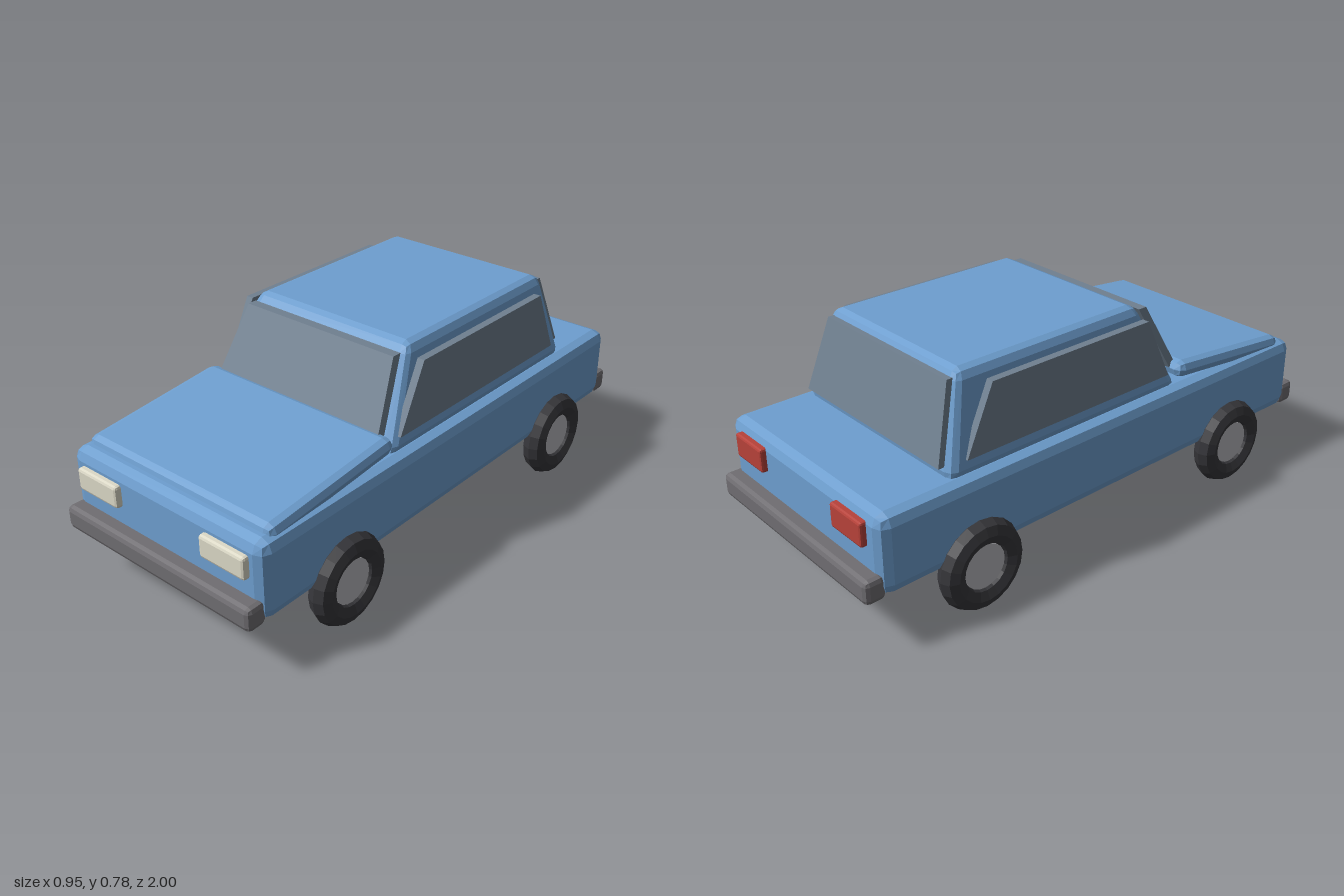
import * as THREE from 'three';
import { RoundedBoxGeometry } from 'three/addons/geometries/RoundedBoxGeometry.js';

const mat = (color) => new THREE.MeshStandardMaterial({ color, flatShading: true });

// Box with a two-facet bevel, given by its size and centre
function bevelBox(w, h, d, r, x = 0, y = 0, z = 0) {
  return new RoundedBoxGeometry(w, h, d, 1, r).translate(x, y, z);
}

// Remap a geometry so its x/z extents run from bottom to top: [xMin, xMax, zMin, zMax]
function taper(geo, y0, y1, bottom, top) {
  geo.computeBoundingBox();
  const { min, max } = geo.boundingBox;
  const p = geo.attributes.position;
  const unit = (v, a) => (v - min[a]) / (max[a] - min[a]);
  for (let i = 0; i < p.count; i++) {
    const u = unit(p.getX(i), 'x'), t = unit(p.getY(i), 'y'), w = unit(p.getZ(i), 'z');
    const [xa, xb, za, zb] = bottom.map((b, k) => THREE.MathUtils.lerp(b, top[k], t));
    p.setXYZ(i, xa + (xb - xa) * u, y0 + (y1 - y0) * t, za + (zb - za) * w);
  }
  geo.computeVertexNormals();
  geo.computeBoundingBox();
  return geo;
}

export function createModel() {
  const car = new THREE.Group();
  car.name = 'car';

  const paint = mat(0x6e9fd0), glass = mat(0x708090), bumperGrey = mat(0x706e72);
  const rubber = mat(0x36363a), metal = mat(0xb8b8bc);
  const cream = mat(0xdddac8), red = mat(0xb8423a);

  const add = (name, geo, material, parent = car) => {
    const mesh = new THREE.Mesh(geo, material);
    mesh.name = name;
    parent.add(mesh);
    return mesh;
  };

  // Lower body
  add('body', bevelBox(0.86, 0.275, 1.89, 0.04, 0, 0.328, 0), paint);

  // Hood, sloping down to the front
  const hood = add('hood', bevelBox(0.82, 0.062, 0.565, 0.03), paint);
  hood.position.set(0, 0.485, 0.612);
  hood.rotation.x = 0.1;

  // Tapered cabin
  add('cabin', taper(bevelBox(0.79, 0.33, 1.01, 0.033), 0.45, 0.78,
    [-0.397, 0.397, -0.67, 0.343], [-0.331, 0.331, -0.582, 0.18]), paint);

  // Window panes
  const pane = (name, y0, y1, bottom, top) =>
    add(name, taper(new THREE.BoxGeometry(), y0, y1, bottom, top), glass);
  pane('windshield', 0.5, 0.755, [-0.361, 0.361, 0.338, 0.371], [-0.32, 0.32, 0.203, 0.238]);
  pane('rearWindow', 0.5, 0.755, [-0.36, 0.36, -0.682, -0.66], [-0.317, 0.317, -0.607, -0.585]);
  for (const [side, s] of [['left', 1], ['right', -1]]) {
    const [xa, xb] = s > 0 ? [0.366, 0.393] : [-0.393, -0.366];
    pane(side + 'SideWindow', 0.512, 0.742, [xa, xb, -0.597, 0.287], [xa, xb, -0.495, 0.174]);

    // Lamps
    add(side + 'Headlight', bevelBox(0.188, 0.08, 0.05, 0.01, s * 0.281, 0.375, 0.943), cream);
    add(side + 'TailLight', bevelBox(0.16, 0.085, 0.05, 0.008, s * 0.28, 0.39, -0.941), red);
  }

  // Bumpers
  for (const [name, s] of [['frontBumper', 1], ['rearBumper', -1]]) {
    add(name, bevelBox(0.836, 0.084, 0.075, 0.018, 0, 0.228, s * 0.9625), bumperGrey);
  }

  // Wheels: faceted tyre ring around a flat hub
  for (const [end, z] of [['front', 0.592], ['rear', -0.588]]) {
    for (const [side, s] of [['Left', 1], ['Right', -1]]) {
      const wheel = new THREE.Group();
      wheel.name = end + side + 'Wheel';
      wheel.position.set(s * 0.432, 0.159, z);
      add('tyre', new THREE.TorusGeometry(0.115, 0.043, 8, 20).rotateY(Math.PI / 2), rubber, wheel);
      add('hub', new THREE.CylinderGeometry(0.079, 0.079, 0.044, 20).rotateZ(Math.PI / 2), metal, wheel);
      car.add(wheel);
    }
  }
  return car;
}
